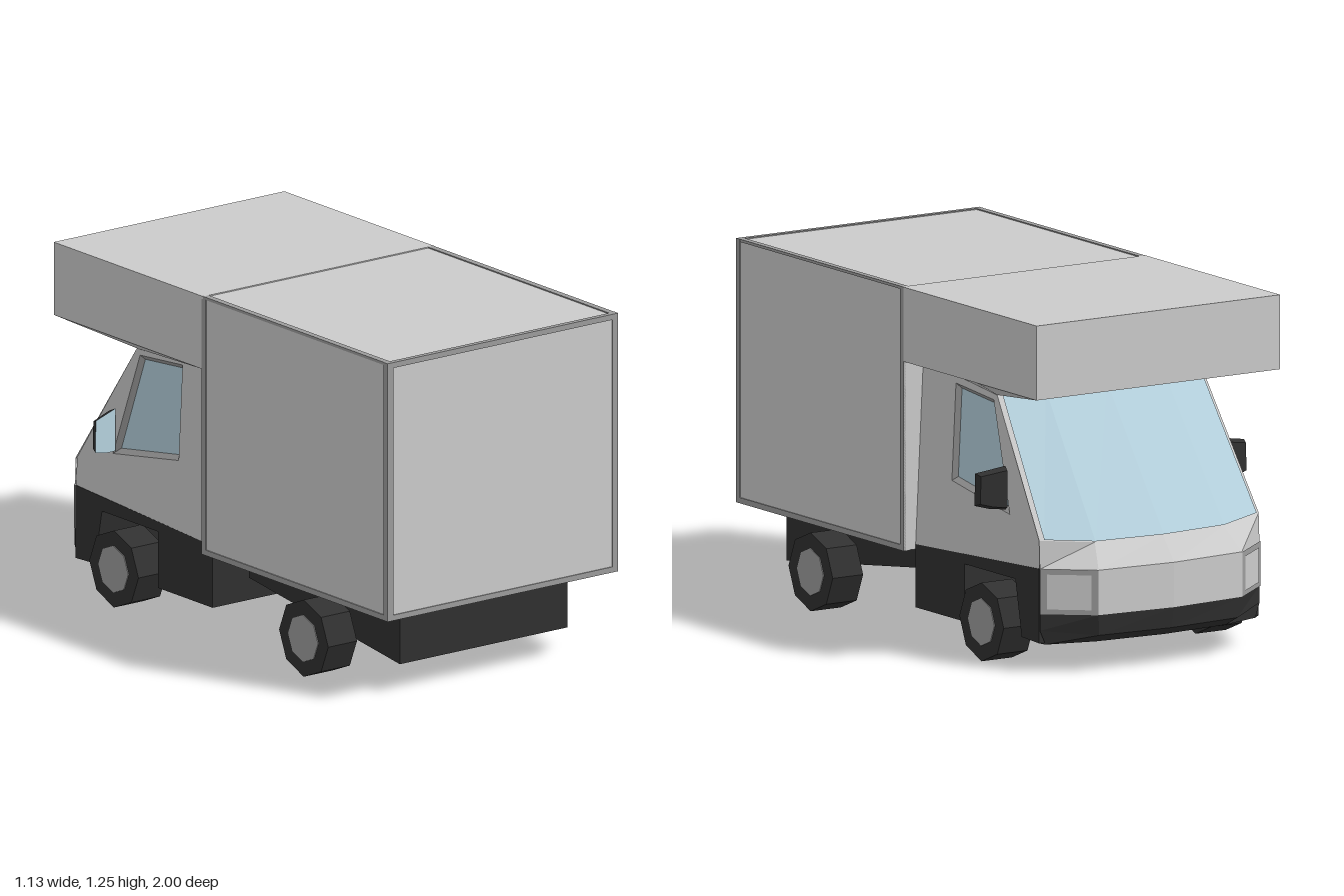
import * as THREE from 'three';

const mat = (color) => new THREE.MeshStandardMaterial({ color, flatShading: true, side: THREE.DoubleSide });
const grey = mat(0xcccccc), trim = mat(0x9c9c9c), black = mat(0x303030), glass = mat(0xb4d0dc);

export function createModel() {
  const root = new THREE.Group();
  root.name = 'camperVan';

  const add = (name, geo, material) => {
    const mesh = new THREE.Mesh(geo, material);
    mesh.name = name;
    root.add(mesh);
    return mesh;
  };
  // Box given by its x, y and z limits
  const box = (name, x0, x1, y0, y1, z0, z1, material) =>
    add(name, new THREE.BoxGeometry(x1 - x0, y1 - y0, z1 - z0), material)
      .position.set((x0 + x1) / 2, (y0 + y1) / 2, (z0 + z1) / 2);
  // Faceted surface through rows of points
  const loft = (name, rows, material) => {
    const pos = [];
    for (let i = 0; i < rows.length - 1; i++)
      for (let j = 0; j < rows[i].length - 1; j++) {
        const a = rows[i][j], b = rows[i][j + 1], c = rows[i + 1][j + 1], d = rows[i + 1][j];
        pos.push(...a, ...b, ...c, ...a, ...c, ...d);
      }
    const geo = new THREE.BufferGeometry();
    geo.setAttribute('position', new THREE.Float32BufferAttribute(pos, 3));
    geo.computeVertexNormals();
    return add(name, geo, material);
  };
  // Completes a row from the right edge to the left, listing centre to left edge
  const mirrorRow = (half) => [...half.slice(1).reverse().map(([x, y, z]) => [-x, y, z]), ...half];
  const toShape = (pts) => new THREE.Shape(pts.map(([s, y]) => new THREE.Vector2(s, y)));
  // Side profile in (distance forward, height), extruded across the width
  const across = (name, pts, halfWidth, material) => {
    const geo = new THREE.ExtrudeGeometry(toShape(pts), { depth: 2 * halfWidth, bevelEnabled: false });
    geo.translate(0, 0, -halfWidth).rotateY(Math.PI / 2);
    add(name, geo, material);
  };

  // Living box with its edge trims
  box('livingBox', -0.506, 0.506, 0.312, 1.246, -0.06, 0.996, grey);
  for (const s of [-1, 1]) {
    const bar = (name, w0, w1, ...rest) =>
      box(name, Math.min(s * w0, s * w1), Math.max(s * w0, s * w1), ...rest, trim);
    bar('rearPost', 0.485, 0.51, 0.31, 1.25, 0.977, 1);
    bar('frontPost', 0.5, 0.51, 0.31, 1.25, -0.06, -0.037);
    bar('sideSill', 0.485, 0.51, 0.31, 0.33, -0.06, 0.99);
    bar('roofRail', 0.485, 0.509, 1.24, 1.25, -0.05, 0.99);
  }
  box('rearTopTrim', -0.49, 0.49, 1.23, 1.25, 0.98, 1, trim);
  box('rearBottomTrim', -0.49, 0.49, 0.31, 0.33, 0.98, 1, trim);

  // Overcab berth: four walls and roof, with a sunken underside
  across('overcabFront', [[0.89, 0.985], [0.9, 0.985], [0.9, 1.25], [0.89, 1.25]], 0.51, grey);
  box('overcabRoof', -0.51, 0.51, 1.24, 1.25, -0.895, -0.05, grey);
  for (const s of [-1, 1])
    box('overcabSide', s * 0.505 - 0.005, s * 0.505 + 0.005, 0.985, 1.245, -0.895, -0.06, grey);
  loft('overcabUnderside', [
    [[0, 0.985, -0.06], [0.43, 0.985, -0.06], [0.51, 0.985, -0.06]],
    [[0, 0.94, -0.57], [0.43, 0.935, -0.53], [0.51, 0.985, -0.53]],
    [[0, 0.985, -0.9], [0.51, 0.985, -0.9], [0.51, 0.985, -0.9]],
  ].map(mirrorRow), grey);

  // Cab front, from windscreen top down to the lamps
  const roofRow = [[0, 0.94, -0.57], [0.25, 0.938, -0.56], [0.43, 0.935, -0.53]];
  const screenRow = [[0, 0.455, -0.93], [0.27, 0.455, -0.905], [0.46, 0.47, -0.84]];
  const hoodRow = [[0, 0.37, -1], [0.3, 0.37, -0.975], [0.46, 0.37, -0.845]];
  const lampRow = hoodRow.map(([x, , z]) => [x, 0.21, z]);
  loft('cabFront', [roofRow, screenRow, hoodRow, lampRow].map(mirrorRow), grey);
  const lift = (row, edge) => row.map(([x, y, z], i) =>
    i === 2 ? [x - edge, y + 0.003, z - 0.01] : [x, y + 0.004, z - 0.005]);
  loft('windscreen', [lift(roofRow, 0.015), lift(screenRow, 0.015)].map(mirrorRow), glass);

  // Bumper and the dark lower body with its wheel wells
  loft('bumper', [
    lampRow,
    [[0, 0.135, -0.985], [0.29, 0.135, -0.962], [0.46, 0.15, -0.845]],
    [[0, 0.105, -0.94], [0.27, 0.105, -0.92], [0.44, 0.1, -0.85]],
    [[0, 0.105, -0.84], [0.27, 0.105, -0.84], [0.46, 0.105, -0.84]],
  ].map(mirrorRow), black);
  across('lowerBody', [[0.06, 0.33], [0.06, 0.105], [0.37, 0.105], [0.37, 0.31], [0.69, 0.31],
    [0.73, 0.11], [0.84, 0.105], [0.84, 0.37]], 0.46, black);
  across('rearChassis', [[-0.89, 0.312], [-0.89, 0.105], [-0.03, 0.22], [-0.03, 0.312]], 0.37, black);

  // Cab sides lean inwards towards the roof
  const sideX = (y) => 0.46 - 0.03 * (y - 0.33) / 0.61;
  const opening = [[0.27, 0.935], [0.51, 0.915], [0.64, 0.53], [0.27, 0.59]];
  const pane = [[0.287, 0.918], [0.498, 0.9], [0.612, 0.553], [0.287, 0.605]];
  for (const s of [-1, 1]) {
    const shape = toShape([[0.06, 0.33], [0.84, 0.37], [0.84, 0.47], [0.53, 0.935], [0.06, 0.985]]);
    shape.holes.push(toShape(opening));
    const geo = new THREE.ShapeGeometry(shape).rotateY(Math.PI / 2);
    const p = geo.attributes.position;
    for (let i = 0; i < p.count; i++) p.setX(i, s * sideX(p.getY(i)));
    geo.computeVertexNormals();
    add('cabSide', geo, grey);

    // Recessed side window with a surround
    const ring = (pts, inset) => pts.map(([f, y]) => [s * (sideX(y) - inset), y, -f]);
    const outer = ring(opening, 0), inner = ring(pane, 0.015);
    loft('windowSurround', [[...outer, outer[0]], [...inner, inner[0]]], trim);
    loft('sideWindow', [[inner[0], inner[1]], [inner[3], inner[2]]], glass);

    // Headlamp: darker surround with a lens on the slanted corner
    const lampPlate = (name, t0, t1, y0, y1, out, material) => {
      const at = (t, y) => [s * (0.46 - 0.16 * t + 0.63 * out), y, -0.845 - 0.13 * t - 0.78 * out];
      loft(name, [[at(t0, y0), at(t1, y0)], [at(t0, y1), at(t1, y1)]], material);
    };
    lampPlate('headlampSurround', 0, 1, 0.21, 0.37, 0.003, trim);
    lampPlate('headlampLens', 0.12, 0.88, 0.228, 0.352, 0.006, grey);

    // Door mirror: tapered dark shell, glass facing backwards
    const mirrorRing = (k, z) => [
      [0.455, 0.545], [0.51, 0.55], [0.566, 0.565], [0.563, 0.68], [0.51, 0.69], [0.455, 0.7], [0.455, 0.545],
    ].map(([x, y]) => [s * (0.51 + (x - 0.51) * k), 0.622 + (y - 0.622) * k, z - (0.51 - x) * 0.25]);
    const back = mirrorRing(1, -0.605), front = mirrorRing(0.85, -0.63);
    loft('mirrorShell', [back, front], black);
    const face = (name, r, m) => loft(name, [[r[0], r[1], r[2]], [r[5], r[4], r[3]]], m);
    face('mirrorGlass', back, glass);
    face('mirrorFront', front, black);

    // Octagonal wheels with hubs
    for (const z of [-0.555, 0.525]) {
      const tyre = add('tyre', new THREE.CylinderGeometry(0.14, 0.14, 0.127, 8).rotateZ(Math.PI / 2), black);
      tyre.position.set(s * 0.4485, 0.14, z);
      const hub = add('hub', new THREE.CylinderGeometry(0.085, 0.085, 0.01, 8).rotateZ(Math.PI / 2), trim);
      hub.position.set(s * 0.51, 0.14, z);
    }
  }
  return root;
}
